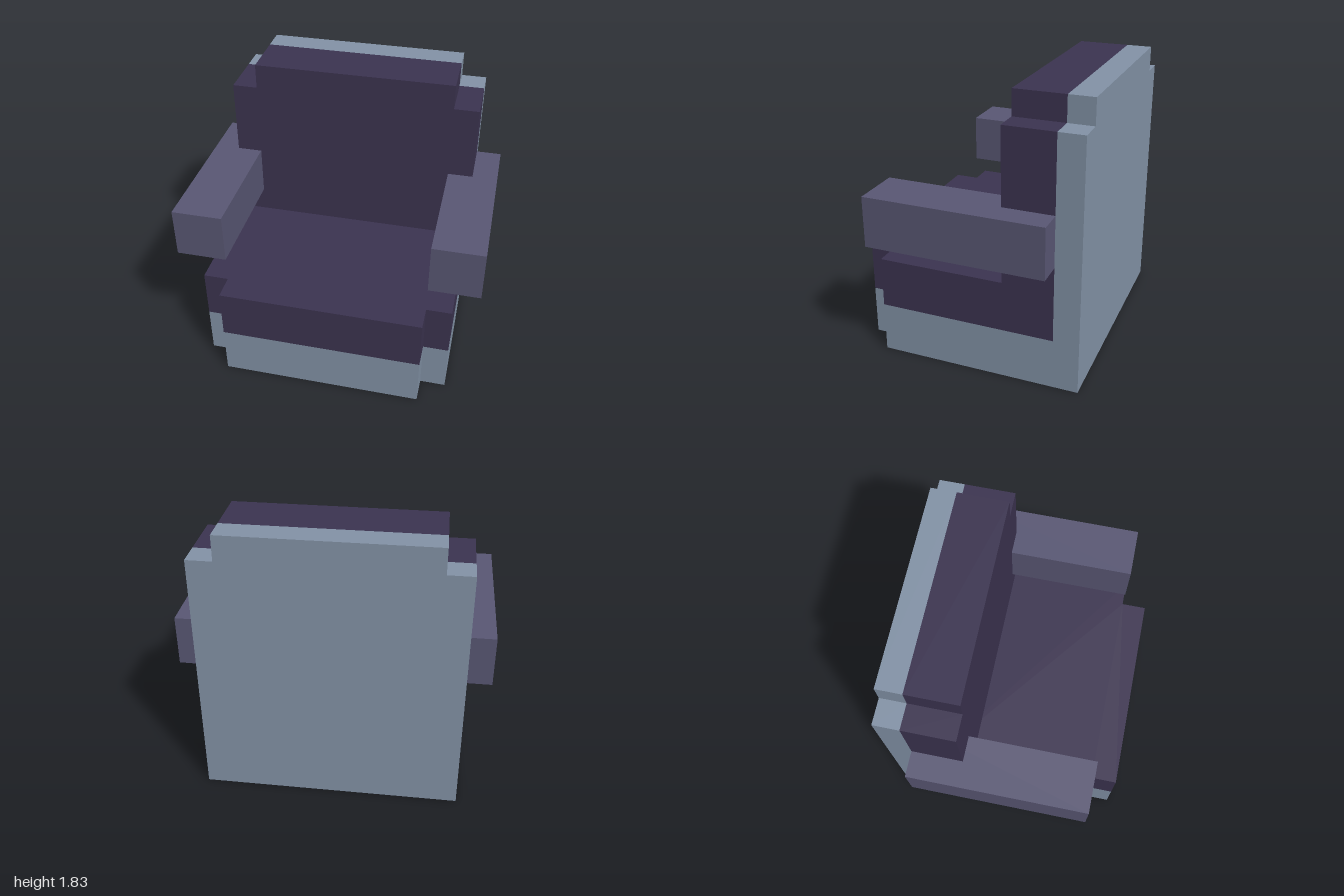
import * as THREE from 'three';

const U = 1 / 6; // the armchair sits on a grid of sixths

export function createModel() {
  const group = new THREE.Group();
  group.name = 'armchair';

  const shellMat = new THREE.MeshStandardMaterial({ color: 0x8494a8 });
  shellMat.name = 'greyBlueShell';
  const cushionMat = new THREE.MeshStandardMaterial({ color: 0x3c3451 });
  cushionMat.name = 'darkPurpleCushion';
  const armMat = new THREE.MeshStandardMaterial({ color: 0x5a5875 });
  armMat.name = 'mutedPurpleArm';

  const add = (name, geometry, material) => {
    const mesh = new THREE.Mesh(geometry, material);
    mesh.name = name;
    group.add(mesh);
    return mesh;
  };

  // Box given by its limits in grid units
  const box = (name, [x0, x1], [y0, y1], [z0, z1], material) => {
    const g = new THREE.BoxGeometry((x1 - x0) * U, (y1 - y0) * U, (z1 - z0) * U);
    g.translate(((x0 + x1) / 2) * U, ((y0 + y1) / 2) * U, ((z0 + z1) / 2) * U);
    return add(name, g, material);
  };

  // Symmetric outline, 10 units wide, narrowing to 8 for its last unit
  const stepped = (start, end) => new THREE.Shape(
    [[-5, start], [5, start], [5, end - 1], [4, end - 1], [4, end], [-4, end], [-4, end - 1], [-5, end - 1]]
      .map(([x, y]) => new THREE.Vector2(x * U, y * U)));

  const extrude = (shape, depth) =>
    new THREE.ExtrudeGeometry(shape, { depth: depth * U, bevelEnabled: false });

  // Horizontal slab: outline y becomes z, extruded downwards from the top
  const slab = (shape, bottom, top) =>
    extrude(shape, top - bottom).rotateX(Math.PI / 2).translate(0, top * U, 0);

  // Base with a rectangular opening underneath, closed by a dark panel
  const baseShape = stepped(-4.5, 4.5);
  baseShape.holes.push(new THREE.Path(
    [[-4, -3.5], [-4, 2.5], [4, 2.5], [4, -3.5]].map(([x, y]) => new THREE.Vector2(x * U, y * U))));
  add('base', slab(baseShape, 0, 2), shellMat);
  box('undersidePanel', [-4, 4], [0, 0.05], [-3.5, 2.5], cushionMat);

  // Seat cushion
  add('seatCushion', slab(stepped(-3.5, 4.5), 2, 4), cushionMat);

  // Backrest: outer shell and the cushion in front of it
  add('backShell', extrude(stepped(2, 11), 1).translate(0, 0, -4.5 * U), shellMat);
  add('backCushion', extrude(stepped(4, 11), 2).translate(0, 0, -3.5 * U), cushionMat);

  // Armrests
  box('leftArmrest', [4, 6], [5, 7], [-3.5, 3.5], armMat);
  box('rightArmrest', [-6, -4], [5, 7], [-3.5, 3.5], armMat);

  return group;
}
